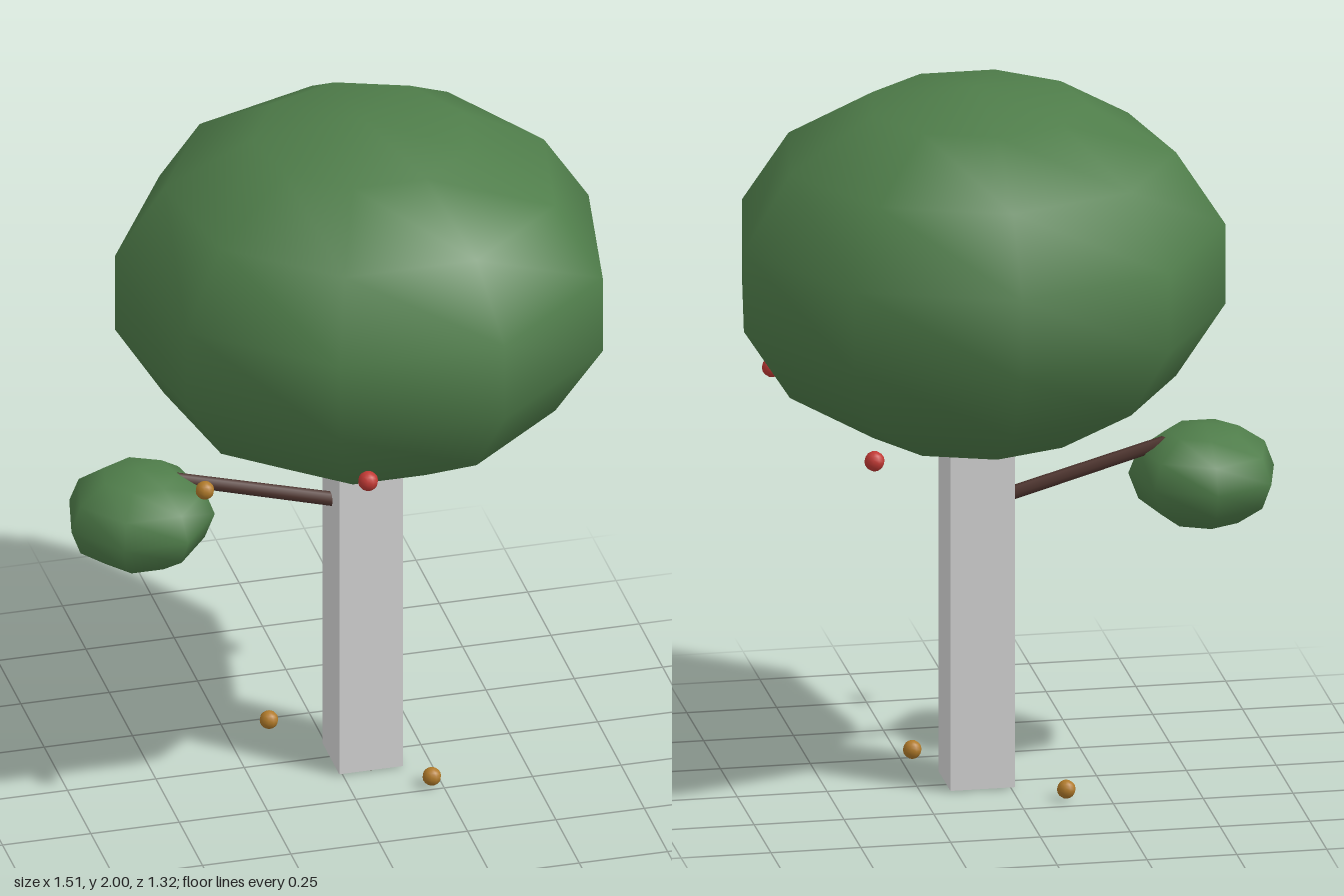
import * as THREE from 'three';

const material = (name, color) => {
  const m = new THREE.MeshStandardMaterial({ color });
  m.name = name;
  return m;
};

export function createModel() {
  const tree = new THREE.Group();
  tree.name = 'tree';

  const leaf = material('leafGreen', 0x4f7d4a);
  const bark = material('paleBark', 0xd8d8d8);
  const wood = material('darkWood', 0x4e342e);
  const red = material('fruitRed', 0xc23a35);
  const amber = material('fruitAmber', 0xb07a2a);

  const add = (name, geometry, mat, x, y, z) => {
    const mesh = new THREE.Mesh(geometry, mat);
    mesh.name = name;
    mesh.position.set(x, y, z);
    tree.add(mesh);
    return mesh;
  };

  // Squashed, coarse spheres with one corner pointing to the back
  const foliage = (name, radius, halfHeight, sides, rows, x, y, z) => {
    const geometry = new THREE.SphereGeometry(1, sides, rows, -Math.PI / 2);
    geometry.scale(radius, halfHeight, radius);
    add(name, geometry, leaf, x, y, z);
  };
  foliage('canopy', 0.698, 0.515, 9, 7, 0.08, 1.485, 0.02);
  foliage('sideFoliage', 0.208, 0.145, 7, 6, -0.553, 0.845, 0.018);

  // Square bark around a round core that shows at the foot
  add('trunk', new THREE.BoxGeometry(0.18, 1.096, 0.18), bark, 0.08, 0.552, 0.02);
  add('trunkCore', new THREE.CylinderGeometry(0.06, 0.085, 1.1, 7), wood, 0.08, 0.55, 0.02);

  // Branch rising from the trunk to the side foliage
  const from = new THREE.Vector3(0.04, 0.806, 0.02);
  const to = new THREE.Vector3(-0.45, 0.945, 0.02);
  const along = to.clone().sub(from);
  const middle = from.clone().add(to).multiplyScalar(0.5);
  const branch = add('branch', new THREE.CylinderGeometry(0.018, 0.02, along.length(), 6), wood, ...middle);
  branch.quaternion.setFromUnitVectors(new THREE.Vector3(0, 1, 0), along.normalize());

  // Hanging and fallen fruit
  const redFruit = new THREE.SphereGeometry(0.028, 10, 8);
  const amberFruit = new THREE.SphereGeometry(0.026, 10, 8);
  [[-0.05, 1.18, 0.57], [0.65, 1.225, 0.02], [0.445, 1.08, -0.41]]
    .forEach((p, i) => add(`redFruit${i + 1}`, redFruit, red, ...p));
  [[-0.43, 1.037, 0.26], [0.22, 0.03, 0.23], [-0.13, 0.03, -0.19]]
    .forEach((p, i) => add(`amberFruit${i + 1}`, amberFruit, amber, ...p));

  return tree;
}
